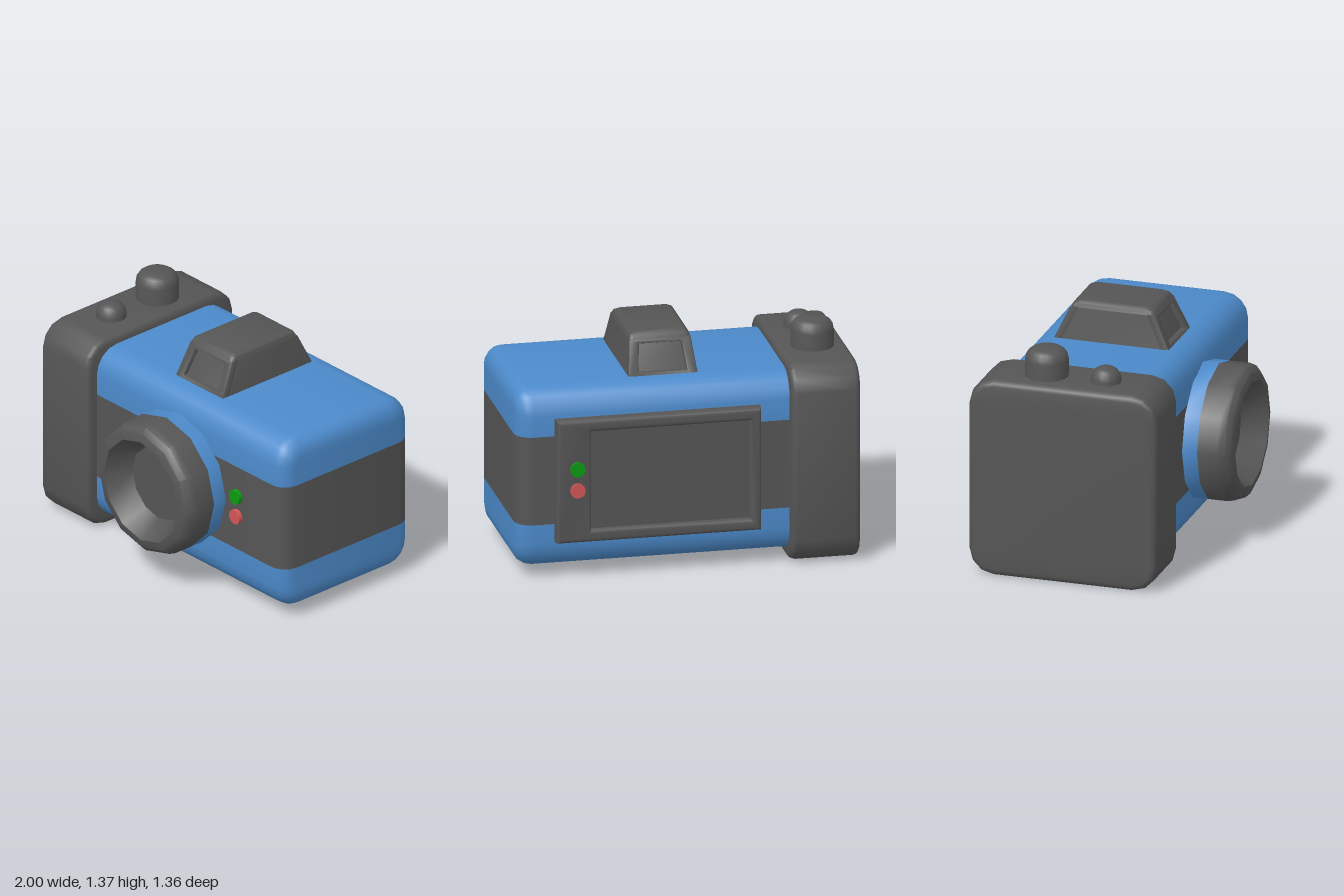
import * as THREE from 'three';
import { toCreasedNormals } from 'three/addons/utils/BufferGeometryUtils.js';

const CREASE = 0.62;
const Z0 = -0.105; // shared depth centre of body, grip and viewfinder

// Rounded-rectangle cross-section at x, optional extra side points at heights ys
function section(x, hy, hz, r, seg, inset = 0, ys = []) {
  const half = [];
  const arc = (cy, from) => {
    for (let i = 0; i <= seg; i++) {
      const a = from + (i / seg) * Math.PI / 2;
      half.push([cy - Math.cos(a) * (r - inset), -(hz - r) - Math.sin(a) * (r - inset)]);
    }
  };
  arc(-(hy - r), 0);
  ys.forEach(y => half.push([y, -(hz - inset)]));
  arc(hy - r, Math.PI / 2);
  const mirrored = half.map(([y, z]) => [y, -z]).reverse();
  return half.concat(mirrored).map(([y, z]) => new THREE.Vector3(x, y, z));
}

// Skin cross-sections along x with end caps; quads inside the stripe go to group 1
function loft(rings, stripe = -1) {
  const parts = [[], []];
  const quad = (a, b, c, d) => {
    const mid = (a.y + b.y + c.y + d.y) / 4;
    const list = parts[Math.abs(mid) < stripe ? 1 : 0];
    [a, b, c, a, c, d].forEach(p => list.push(p.x, p.y, p.z));
  };
  const n = rings[0].length;
  for (let i = 0; i < rings.length - 1; i++) {
    const p = rings[i], q = rings[i + 1];
    for (let j = 0; j < n; j++) {
      const k = (j + 1) % n;
      quad(p[j], p[k], q[k], q[j]);
    }
  }
  const s = rings[0], e = rings[rings.length - 1];
  for (let j = 0; j < n / 2 - 1; j++) {
    quad(e[j], e[j + 1], e[n - 2 - j], e[n - 1 - j]);
    quad(s[n - 1 - j], s[n - 2 - j], s[j + 1], s[j]);
  }
  const g = new THREE.BufferGeometry();
  g.setAttribute('position', new THREE.Float32BufferAttribute(parts[0].concat(parts[1]), 3));
  g.addGroup(0, parts[0].length / 3, 0);
  if (parts[1].length) g.addGroup(parts[0].length / 3, parts[1].length / 3, 1);
  return toCreasedNormals(g, CREASE);
}

// [x, inset] steps of a rounded end finishing at x = end
function roundEnd(end, b, steps, dir) {
  const out = [];
  for (let i = 0; i <= steps; i++) {
    const t = (i / steps) * Math.PI / 2;
    out.push([end - dir * b * (1 - Math.sin(t)), b * (1 - Math.cos(t))]);
  }
  return out;
}

const polygon = (pts, Type = THREE.Shape) => new Type(pts.map(p => new THREE.Vector2(...p)));
const rect = (x0, y0, x1, y1) => [[x0, y0], [x1, y0], [x1, y1], [x0, y1]];

// Plate with a hole and softened edges, spanning z0..z1
function frame(outer, inner, z0, z1, b, seg) {
  const shape = polygon(outer);
  shape.holes.push(polygon([...inner].reverse(), THREE.Path));
  return new THREE.ExtrudeGeometry(shape, {
    depth: z1 - z0 - 2 * b, bevelThickness: b, bevelSize: b, bevelOffset: -b, bevelSegments: seg,
  }).translate(0, 0, z0 + b);
}

function lathe(pts, sides) {
  const g = new THREE.LatheGeometry(pts.map(p => new THREE.Vector2(...p)), sides);
  return toCreasedNormals(g.toNonIndexed(), CREASE);
}

export function createModel() {
  const model = new THREE.Group();
  model.name = 'camera';
  const material = (name, color) => {
    const m = new THREE.MeshStandardMaterial({ color });
    m.name = name;
    return m;
  };
  const blue = material('blue', 0x4c8aca);
  const grey = material('darkGrey', 0x555555);
  const green = material('green', 0x0a9a0f);
  const red = material('red', 0xd05656);
  const add = (name, geometry, mat, x = 0, y = 0, z = 0, parent = model) => {
    const mesh = new THREE.Mesh(geometry, mat);
    mesh.name = name;
    mesh.position.set(x, y, z);
    parent.add(mesh);
    return mesh;
  };

  // Body with a grey band
  const band = 0.265;
  const bodySteps = [[-0.7, 0], ...roundEnd(1, 0.1, 4, 1)];
  const bodyRings = bodySteps.map(([x, i]) => section(x, 0.54, 0.495, 0.15, 4, i, [-band, band]));
  add('body', loft(bodyRings, band), [blue, grey], 0, 0.6, Z0);

  // Hand grip
  const gripSteps = [...roundEnd(-1, 0.035, 3, -1).reverse(), ...roundEnd(-0.595, 0.035, 3, 1)];
  const gripRings = gripSteps.map(([x, i]) => section(x, 0.595, 0.565, 0.15, 3, i));
  add('grip', loft(gripRings), [grey], 0, 0.595, Z0);

  // Domed buttons on the grip
  const button = (name, r, top, z) => {
    const pts = [[r, 1.15]], b = 0.07;
    for (let i = 0; i <= 4; i++) {
      const t = (i / 4) * Math.PI / 2;
      pts.push([r - b + b * Math.cos(t), top - b + b * Math.sin(t)]);
    }
    pts.push([0, top]);
    add(name, lathe(pts, 20), grey, -0.8, 0, z);
  };
  button('shutterButton', 0.125, 1.36, -0.26);
  button('smallButton', 0.088, 1.28, 0.095);

  // Viewfinder hump, with a recessed window frame front and back
  const finder = new THREE.Group();
  finder.name = 'viewfinder';
  finder.position.set(0.112, 0, Z0);
  model.add(finder);
  const humpRings = [
    [1.12, 0.206, 0.324], [1.33, 0.18, 0.224], [1.33, 0.18, 0.254], [1.355, 0.172, 0.24], [1.37, 0.15, 0.212],
  ].map(([y, hx, hz]) => section(y, hx, hz, 0.025, 3));
  add('viewfinderHousing', loft(humpRings).rotateZ(Math.PI / 2), [grey], 0, 0, 0, finder);
  const windowFrame = frame(
    [[-0.205, 1.12], [0.205, 1.12], [0.18, 1.334], [-0.18, 1.334]],
    [[-0.142, 1.155], [0.142, 1.155], [0.122, 1.305], [-0.122, 1.305]],
    0.29, 0.345, 0.012, 2);
  const pos = windowFrame.attributes.position;
  for (let i = 0; i < pos.count; i++) pos.setZ(i, pos.getZ(i) - 0.475 * (pos.getY(i) - 1.14));
  const frameGeometry = toCreasedNormals(windowFrame, CREASE);
  add('frontWindowFrame', frameGeometry, grey, 0, 0, 0, finder);
  add('backWindowFrame', frameGeometry, grey, 0, 0, 0, finder).rotation.y = Math.PI;

  // Twelve-sided lens with a funnel-shaped recess
  const lens = new THREE.Group();
  lens.name = 'lens';
  lens.position.set(0.102, 0.615, 0);
  lens.rotation.x = Math.PI / 2;
  model.add(lens);
  add('lensBase', lathe([[0.405, 0.36], [0.405, 0.48]], 12), blue, 0, 0, 0, lens);
  add('lensBarrel', lathe([
    [0.405, 0.48], [0.405, 0.6], [0.395, 0.64], [0.366, 0.67], [0.315, 0.68], [0.225, 0.54], [0, 0.54],
  ], 12), grey, 0, 0, 0, lens);

  // Back panel and sunken screen
  const panel = frame(rect(-0.42, 0.23, 0.78, 0.97), rect(-0.35, 0.305, 0.575, 0.895), -0.665, -0.55, 0.025, 3);
  add('backPanel', toCreasedNormals(panel, CREASE), grey);
  add('screen', new THREE.BoxGeometry(1.0, 0.66, 0.05), grey, 0.11, 0.6, -0.605);

  // Indicator lights, front and back
  const light = new THREE.CylinderGeometry(0.044, 0.044, 0.04, 20).rotateX(Math.PI / 2);
  for (const [side, x, z] of [['front', 0.605, 0.395], ['back', 0.66, -0.66]]) {
    add(side + 'GreenLight', light, green, x, 0.678, z);
    add(side + 'RedLight', light, red, x, 0.55, z);
  }
  return model;
}
